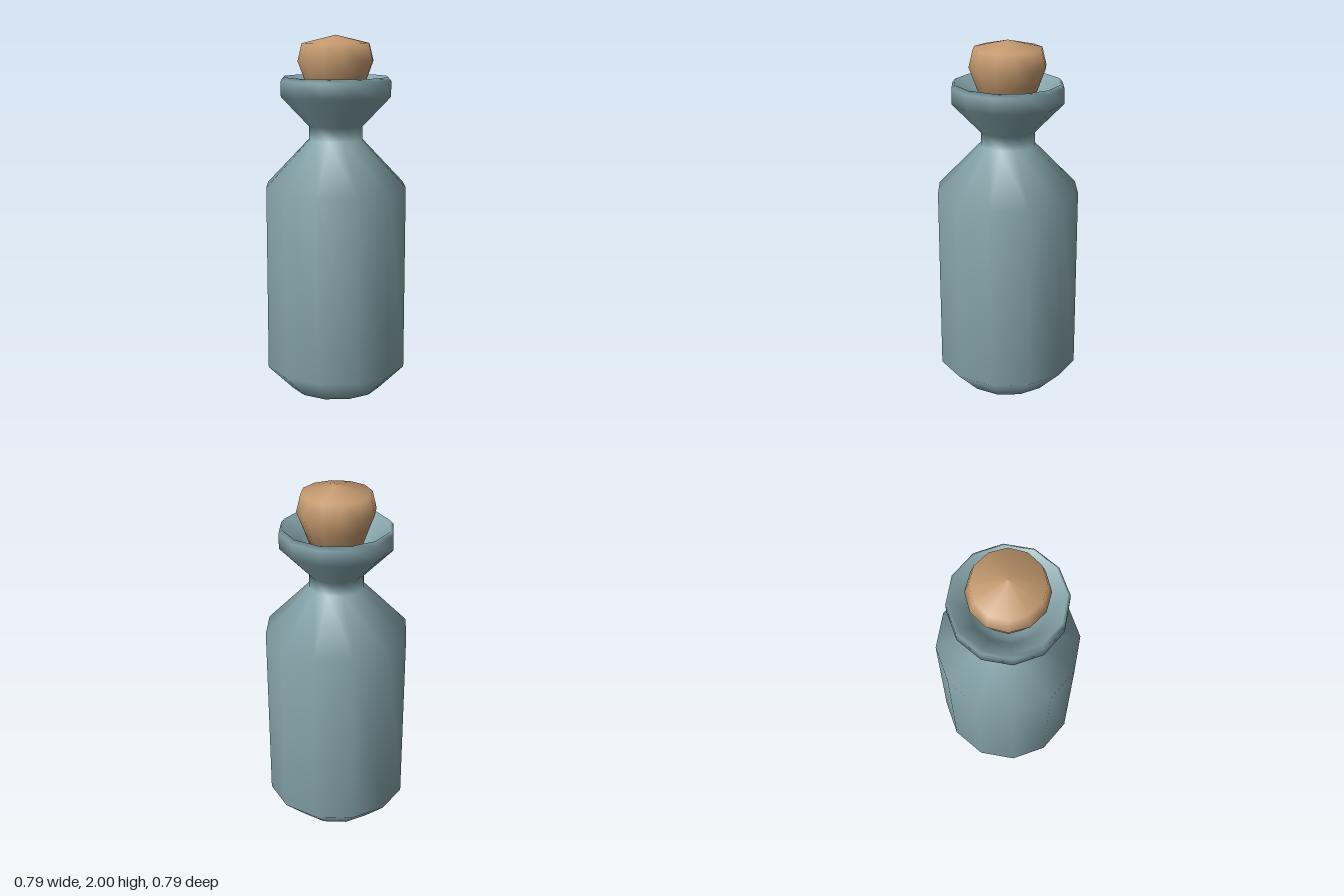
import * as THREE from 'three';

const SIDES = 12;

// Smooth twelve-sided turned shape from [radius, height] pairs, listed bottom to top
function turned(name, profile, material) {
  const points = profile.map(([r, y]) => new THREE.Vector2(r, y));
  const mesh = new THREE.Mesh(new THREE.LatheGeometry(points, SIDES), material);
  mesh.name = name;
  return mesh;
}

export function createModel() {
  const glass = new THREE.MeshStandardMaterial({ color: 0x84a3a9 });
  glass.name = 'blueGrayGlass';
  const corkBrown = new THREE.MeshStandardMaterial({ color: 0xc0966c });
  corkBrown.name = 'corkBrown';

  const model = new THREE.Group();
  model.name = 'corkedBottle';

  // Body, neck, flared lip and the funnel inside the mouth
  model.add(turned('bottle', [
    [0, 0], [0.255, 0], [0.397, 0.14], [0.397, 1.175],
    [0.152, 1.43], [0.152, 1.505], [0.31, 1.67], [0.31, 1.755],
    [0.293, 1.775], [0.2, 1.68], [0.13, 1.58], [0, 1.56],
  ], glass));

  // Rounded stopper with a shallow pointed top, turned slightly
  const cork = turned('cork', [
    [0, 1.6], [0.125, 1.62], [0.18, 1.775], [0.212, 1.86], [0.189, 1.955], [0, 2],
  ], corkBrown);
  cork.rotation.y = -THREE.MathUtils.degToRad(4.5);
  model.add(cork);

  return model;
}
